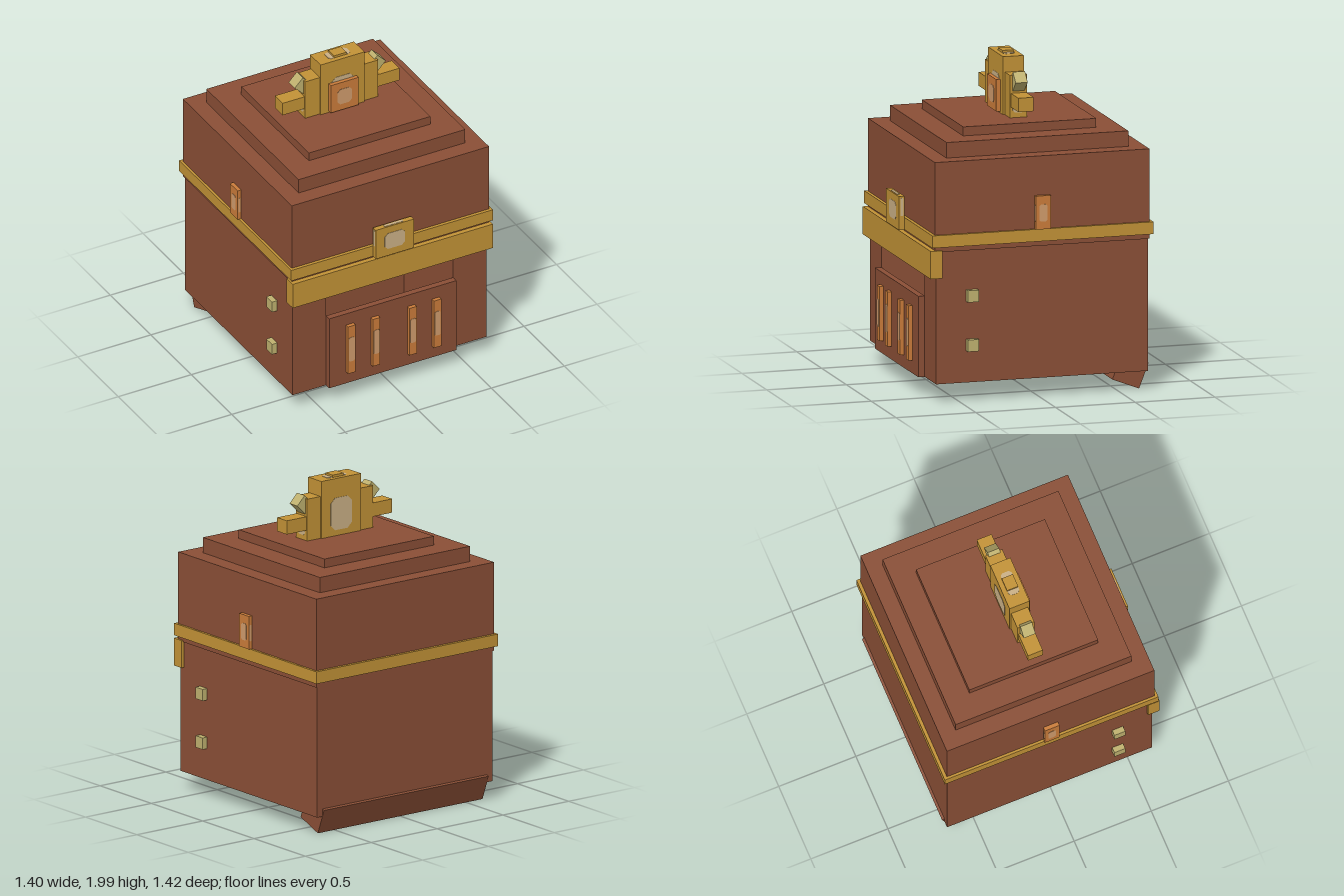
import * as THREE from 'three';

const mat = (name, color) => {
  const m = new THREE.MeshStandardMaterial({ color });
  m.name = name;
  return m;
};

export function createModel() {
  const model = new THREE.Group();
  model.name = 'helmet';
  const brown = mat('brown', 0x8a4f36);
  const gold = mat('gold', 0xc29236);
  const orange = mat('orange', 0xca7c3a);
  const khaki = mat('khaki', 0xbfb16f);
  const paleGold = mat('paleGold', 0xcab086);
  const paleOrange = mat('paleOrange', 0xd09c6c);

  const add = (name, geometry, material) => {
    const mesh = new THREE.Mesh(geometry, material);
    mesh.name = name;
    model.add(mesh);
    return mesh;
  };

  // Box given by its limits on each axis
  const box = (name, material, [x0, x1], [y0, y1], [z0, z1]) => {
    const mesh = add(name, new THREE.BoxGeometry(x1 - x0, y1 - y0, z1 - z0), material);
    mesh.position.set((x0 + x1) / 2, (y0 + y1) / 2, (z0 + z1) / 2);
    return mesh;
  };

  // Thin chamfered plate lying on a face; rx and ry turn it from facing +z
  const patch = (name, material, w, h, x, y, z, rx = 0, ry = 0) => {
    const a = w / 2, b = h / 2, c = Math.min(a, b) * 0.4;
    const outline = [[a, b - c], [a - c, b], [c - a, b], [-a, b - c], [-a, c - b], [c - a, -b], [a - c, -b], [a, c - b]];
    const shape = new THREE.Shape(outline.map(([u, v]) => new THREE.Vector2(u, v)));
    const mesh = add(name, new THREE.ExtrudeGeometry(shape, { depth: 0.002, bevelEnabled: false }), material);
    mesh.position.set(x, y, z);
    mesh.rotation.set(rx, ry, 0);
  };
  const quarter = Math.PI / 2;

  // Lower shell: U-shaped plan, open at the front and below
  const plan = new THREE.Shape([
    [-0.665, -0.645], [-0.435, -0.645], [-0.435, -0.04], [0.435, -0.04],
    [0.435, -0.645], [0.665, -0.645], [0.665, 0.685], [-0.665, 0.685],
  ].map(([x, y]) => new THREE.Vector2(x, y)));
  const shell = add('lowerShell', new THREE.ExtrudeGeometry(plan, { depth: 0.81, bevelEnabled: false }), brown);
  shell.rotation.x = -quarter;
  shell.position.y = 0.12;

  // Stepped dome
  box('upperShell', brown, [-0.675, 0.675], [0.93, 1.48], [-0.69, 0.655]);
  box('domeStep', brown, [-0.57, 0.57], [1.48, 1.575], [-0.59, 0.55]);
  box('domeTop', brown, [-0.416, 0.416], [1.575, 1.63], [-0.437, 0.398]);

  // Tilted neck guard
  const guard = add('neckGuard', new THREE.BoxGeometry(1.25, 0.166, 0.18), brown);
  guard.position.set(0, 0.116, -0.587);
  guard.rotation.x = -0.37;

  // Face plate with four vents
  box('facePlate', brown, [-0.435, 0.435], [0.12, 0.615], [0.645, 0.685]);
  for (const x of [-0.295, -0.125, 0.125, 0.293]) {
    box('vent', orange, [x - 0.025, x + 0.025], [0.2, 0.535], [0.685, 0.71]);
    patch('ventGlow', paleOrange, 0.04, 0.17, x, 0.37, 0.71);
  }

  // Gold trim
  box('browStrip', gold, [-0.685, 0.685], [0.77, 0.94], [0.61, 0.685]);
  box('band', gold, [-0.69, 0.69], [0.96, 1.035], [-0.71, 0.675]);
  box('buckle', gold, [-0.13, 0.13], [0.96, 1.165], [0.675, 0.71]);
  patch('buckleInlay', paleGold, 0.14, 0.11, 0, 1.063, 0.71);
  patch('buckleTopInlay', paleGold, 0.13, 0.018, 0, 1.165, 0.693, -quarter);

  // Crest
  box('crestBlock', gold, [-0.15, 0.15], [1.63, 1.985], [-0.066, 0.064]);
  box('crestShoulders', gold, [-0.25, 0.25], [1.63, 1.89], [-0.056, 0.053]);
  box('crestArms', gold, [-0.4, 0.4], [1.695, 1.78], [-0.05, 0.046]);
  box('crestStud', gold, [-0.042, 0.042], [1.985, 2], [-0.037, 0.035]);
  patch('crestFrontInlay', paleGold, 0.16, 0.2, 0, 1.765, 0.064);
  patch('crestBackInlay', paleGold, 0.16, 0.2, 0, 1.765, -0.066, 0, Math.PI);
  patch('crestTopInlay', paleGold, 0.15, 0.07, 0, 1.985, 0, -quarter);
  box('crestPlate', orange, [-0.095, 0.095], [1.64, 1.835], [0.06, 0.09]);
  patch('crestPlateGlow', paleOrange, 0.1, 0.105, 0, 1.735, 0.09);

  // Mirrored side details
  for (const s of [-1, 1]) {
    const side = (a, b) => (s > 0 ? [a, b] : [-b, -a]);
    const horn = add('horn', new THREE.BoxGeometry(0.11, 0.08, 0.075), khaki);
    horn.position.set(s * 0.245, 1.844, -0.002);
    horn.rotation.z = s * Math.PI / 4;
    patch('shoulderInlay', paleGold, 0.07, 0.12, s * 0.25, 1.72, 0, 0, s * quarter);

    box('sideStud', orange, side(0.675, 0.7), [1.035, 1.24], [-0.065, 0.03]);
    patch('sideStudGlow', paleOrange, 0.048, 0.105, s * 0.7, 1.135, -0.017, 0, s * quarter);
    patch('sideStudBackGlow', paleOrange, 0.014, 0.1, s * 0.688, 1.135, -0.065, 0, Math.PI);
    patch('sideStudFrontGlow', paleOrange, 0.014, 0.1, s * 0.688, 1.135, 0.03);
    patch('buckleSideInlay', paleGold, 0.018, 0.11, s * 0.13, 1.1, 0.693, 0, s * quarter);

    for (const y of [0.35, 0.652]) {
      box('rivet', khaki, side(0.665, 0.7), [y - 0.036, y + 0.036], [0.386, 0.456]);
    }
  }
  return model;
}
